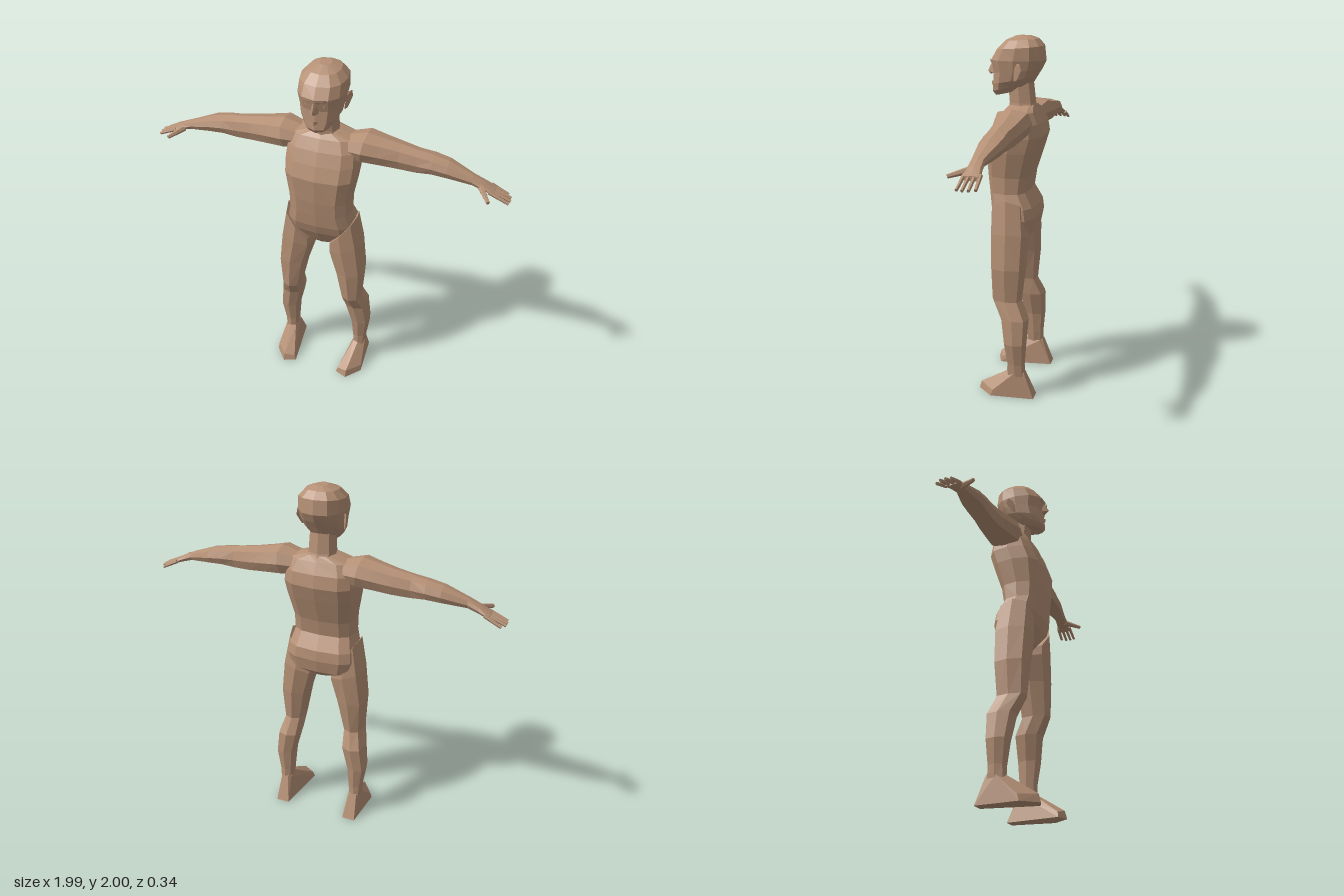
import * as THREE from 'three';
import { ConvexGeometry } from 'three/addons/geometries/ConvexGeometry.js';

const flat = (geo) => {
  const g = geo.index ? geo.toNonIndexed() : geo;
  g.computeVertexNormals();
  return g;
};

// Skins rings [w, u0, u1, v0, v1, tiltU, tiltV] along y, or along x if sideways.
// Low power makes boxier sections.
function loft(rings, { sides = 12, power = 0.75, sideways = false } = {}) {
  const bend = (t) => (Math.abs(t) < 1e-6 ? 0 : Math.sign(t) * Math.abs(t) ** power);
  const place = (u, w, v) => (sideways ? [w, v, u] : [u, w, v]);
  const loops = rings.map(([w, u0, u1, v0, v1, tu = 0, tv = 0]) =>
    Array.from({ length: sides }, (_, i) => {
      const a = (i / sides) * Math.PI * 2;
      const c = bend(Math.cos(a)), s = bend(Math.sin(a));
      return place((u0 + u1) / 2 + (c * (u1 - u0)) / 2, w + tu * c + tv * s,
        (v0 + v1) / 2 + (s * (v1 - v0)) / 2);
    }));
  const mid = ([w, u0, u1, v0, v1]) => place((u0 + u1) / 2, w, (v0 + v1) / 2);
  const last = loops.length - 1, pos = [];
  const tri = (...p) => p.forEach((q) => pos.push(...q));
  for (let i = 0; i < sides; i++) {
    const j = (i + 1) % sides;
    for (let r = 0; r < last; r++) {
      const a = loops[r], b = loops[r + 1];
      tri(a[i], b[i], b[j]);
      tri(a[i], b[j], a[j]);
    }
    tri(mid(rings[0]), loops[0][i], loops[0][j]);
    tri(mid(rings[last]), loops[last][j], loops[last][i]);
  }
  const g = new THREE.BufferGeometry();
  g.setAttribute('position', new THREE.Float32BufferAttribute(pos, 3));
  return flat(g);
}

// Tapered rod between two points.
function rod(a, b, r0, r1) {
  const A = new THREE.Vector3(...a), B = new THREE.Vector3(...b);
  const d = B.clone().sub(A);
  const g = new THREE.CylinderGeometry(r1, r0, d.length(), 6);
  g.applyQuaternion(new THREE.Quaternion().setFromUnitVectors(new THREE.Vector3(0, 1, 0), d.normalize()));
  const m = A.add(B).multiplyScalar(0.5);
  return flat(g.translate(m.x, m.y, m.z));
}

const hull = (pts) => flat(new ConvexGeometry(pts.map((p) => new THREE.Vector3(...p))));

// Reflects across x and restores the corner order.
function mirrored(geo) {
  const g = geo.clone().scale(-1, 1, 1);
  const p = g.attributes.position;
  for (let i = 0; i < p.count; i += 3) {
    const b = [p.getX(i + 1), p.getY(i + 1), p.getZ(i + 1)];
    p.setXYZ(i + 1, p.getX(i + 2), p.getY(i + 2), p.getZ(i + 2));
    p.setXYZ(i + 2, ...b);
  }
  return flat(g);
}

export function createModel() {
  const body = new THREE.Group();
  body.name = 'humanFigure';
  const skin = new THREE.MeshStandardMaterial({ color: 0xb59075 });
  skin.name = 'skin';
  const add = (name, geo) => {
    const m = new THREE.Mesh(geo, skin);
    m.name = name;
    body.add(m);
  };
  const pair = (name, geo) => {
    add(name + 'Left', geo);
    add(name + 'Right', mirrored(geo));
  };

  // Trunk from crotch to collar
  add('torso', loft([
    [0.92, -0.05, 0.05, -0.09, 0.03],
    [0.955, -0.18, 0.18, -0.122, 0.06],
    [1.03, -0.205, 0.205, -0.137, 0.1],
    [1.09, -0.198, 0.198, -0.13, 0.12],
    [1.17, -0.175, 0.175, -0.085, 0.13],
    [1.26, -0.175, 0.175, -0.1, 0.14],
    [1.4, -0.2, 0.2, -0.145, 0.147],
    [1.48, -0.205, 0.205, -0.168, 0.12],
    [1.55, -0.2, 0.2, -0.155, 0.09],
    [1.61, -0.17, 0.17, -0.125, 0.055],
    [1.64, -0.07, 0.07, -0.11, 0.03],
  ], { power: 0.65 }));
  add('neck', loft([
    [1.58, -0.085, 0.085, -0.135, 0.045],
    [1.65, -0.074, 0.074, -0.108, 0.04],
    [1.76, -0.068, 0.068, -0.095, 0.05],
  ], { sides: 8 }));

  // Head, with the jaw lower at the front than at the nape
  add('head', loft([
    [1.705, -0.06, 0.06, -0.07, 0.118, 0, -0.022],
    [1.735, -0.083, 0.083, -0.1, 0.135, 0, -0.03],
    [1.77, -0.104, 0.104, -0.118, 0.13, 0, -0.025],
    [1.82, -0.115, 0.115, -0.142, 0.125, 0, -0.012],
    [1.875, -0.125, 0.125, -0.163, 0.14],
    [1.94, -0.122, 0.122, -0.152, 0.105, 0, -0.01],
    [1.98, -0.085, 0.085, -0.12, 0.06, 0, -0.005],
    [2, -0.03, 0.03, -0.08, 0],
  ], { power: 0.85 }));
  add('nose', hull([
    [0, 1.865, 0.135], [-0.013, 1.85, 0.125], [0.013, 1.85, 0.125], [0, 1.81, 0.162],
    [-0.022, 1.8, 0.125], [0.022, 1.8, 0.125], [0, 1.793, 0.145],
  ]));
  add('lips', hull([
    [-0.035, 1.745, 0.11], [0.035, 1.745, 0.11], [0, 1.757, 0.139], [0, 1.735, 0.139],
  ]));
  pair('brow', hull([
    [0.012, 1.868, 0.143], [0.012, 1.855, 0.138], [0.05, 1.88, 0.134],
    [0.05, 1.865, 0.132], [0.09, 1.868, 0.098], [0.09, 1.858, 0.095],
    [0.05, 1.865, 0.11],
  ]));
  pair('eye', hull([
    [0.025, 1.842, 0.12], [0.075, 1.842, 0.1], [0.05, 1.852, 0.122],
    [0.05, 1.832, 0.122], [0.05, 1.842, 0.1],
  ]));
  pair('ear', hull([
    [0.108, 1.77, -0.01], [0.115, 1.84, -0.015], [0.134, 1.865, -0.05], [0.137, 1.83, -0.06],
    [0.12, 1.775, -0.03], [0.115, 1.86, -0.03],
  ]));

  // Arm rings: x, z back to front, y bottom to top
  pair('arm', loft([
    [0.1, -0.11, 0.04, 1.51, 1.61],
    [0.22, -0.143, 0.065, 1.495, 1.645, 0, 0.01],
    [0.31, -0.132, 0.045, 1.487, 1.628],
    [0.41, -0.12, 0.025, 1.478, 1.61],
    [0.5, -0.108, 0.018, 1.475, 1.595],
    [0.58, -0.114, 0.018, 1.485, 1.582],
    [0.66, -0.108, 0.015, 1.481, 1.565],
    [0.79, -0.072, 0, 1.468, 1.516],
    [0.85, -0.077, 0.002, 1.452, 1.488],
    [0.905, -0.086, 0.004, 1.434, 1.458],
  ], { sides: 8, sideways: true }));
  [-0.078, -0.053, -0.027, -0.002].forEach((z, i) => {
    const tip = [0.97, 0.988, 0.99, 0.985][i];
    pair('finger' + (i + 1), rod([0.88, 1.456, z], [tip, 1.411, z * 1.1 + 0.002], 0.011, 0.008));
  });
  pair('thumb', rod([0.835, 1.468, -0.015], [0.892, 1.445, 0.075], 0.018, 0.01));

  // Leg rings, tilted at the hip so the groin line runs up and outward
  pair('leg', loft([
    [0.13, 0.19, 0.26, -0.11, -0.005],
    [0.2, 0.182, 0.265, -0.108, -0.005],
    [0.33, 0.17, 0.285, -0.118, 0.015],
    [0.47, 0.135, 0.27, -0.125, 0.038],
    [0.57, 0.13, 0.242, -0.08, 0.09],
    [0.76, 0.088, 0.257, -0.1, 0.102],
    [0.93, 0.045, 0.238, -0.108, 0.11, 0.03],
    [1.04, 0.05, 0.205, -0.09, 0.11, 0.1],
  ], { sides: 8 }));
  pair('foot', hull([
    [0.18, 0, -0.165], [0.255, 0, -0.165], [0.278, 0, 0.08], [0.205, 0, 0.168], [0.135, 0, 0.14],
    [0.275, 0.035, 0.07], [0.205, 0.045, 0.155], [0.145, 0.03, 0.135],
    [0.19, 0.145, -0.09], [0.205, 0.15, -0.108], [0.245, 0.15, -0.108],
    [0.26, 0.145, -0.05], [0.225, 0.145, -0.003], [0.195, 0.145, -0.02],
  ]));
  return body;
}
